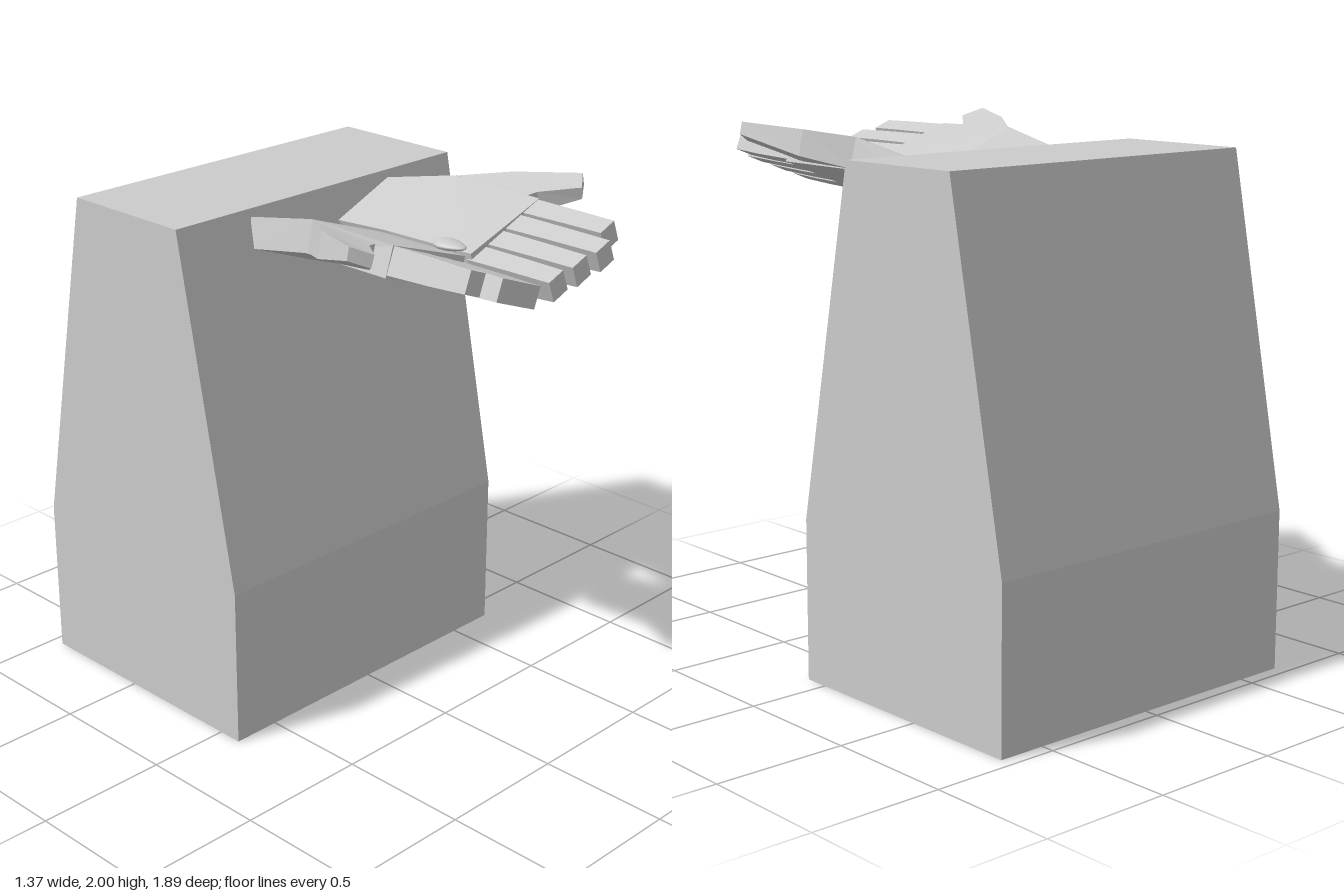
import * as THREE from 'three';

const material = new THREE.MeshStandardMaterial({ color: 0xcccccc, flatShading: true });
const smooth = new THREE.MeshStandardMaterial({ color: 0xcccccc });

function mesh(name, geometry, mat = material) {
  const m = new THREE.Mesh(geometry, mat);
  m.name = name;
  return m;
}

// Faceted solid through four-cornered sections, each ordered
// inner bottom, outer bottom, outer top, inner top; side -1 mirrors it in x.
function loft(sections, side) {
  const pos = [];
  const tri = (a, b, c) => {
    for (const p of side > 0 ? [a, b, c] : [a, c, b]) pos.push(p[0] * side + 0.004, p[1], p[2]);
  };
  const quad = (a, b, c, d) => { tri(a, b, c); tri(a, c, d); };
  for (let i = 0; i < sections.length - 1; i++) {
    const s = sections[i], t = sections[i + 1];
    for (let j = 0; j < 4; j++) {
      const k = (j + 1) % 4;
      quad(s[j], s[k], t[k], t[j]);
    }
  }
  const s = sections[0], e = sections[sections.length - 1];
  quad(s[3], s[2], s[1], s[0]);
  quad(e[0], e[1], e[2], e[3]);
  const g = new THREE.BufferGeometry();
  g.setAttribute('position', new THREE.Float32BufferAttribute(pos, 3));
  g.computeVertexNormals();
  return g;
}

// Rectangle tilted with the cupped palm
function fingerSection(x, y, z, w, h) {
  const c = Math.cos(0.37), s = Math.sin(0.37);
  return [[-1, -1], [1, -1], [1, 1], [-1, 1]].map(([u, v]) => {
    const a = u * w / 2, b = v * h / 2;
    return [x + a * c - b * s, y + a * s + b * c, z];
  });
}

function hand(side) {
  const group = new THREE.Group();
  group.name = side > 0 ? 'leftHand' : 'rightHand';

  group.add(mesh('palm', loft([
    [[0.11, 1.68, -0.11], [0.375, 1.78, -0.11], [0.345, 1.88, -0.16], [0.07, 1.78, -0.15]],
    [[0.055, 1.695, 0.17], [0.395, 1.835, 0.17], [0.37, 1.95, 0.17], [0.012, 1.82, 0.15]],
    [[0.045, 1.70, 0.555], [0.405, 1.84, 0.555], [0.37, 1.945, 0.555], [0.015, 1.825, 0.555]],
  ], side)));

  // Fingers from little finger to index: centre x, centre y, tip z
  const fingers = [
    ['littleFinger', 0.072, 1.778, 0.895],
    ['ringFinger', 0.162, 1.815, 0.92],
    ['middleFinger', 0.252, 1.852, 0.945],
    ['indexFinger', 0.343, 1.888, 0.89],
  ];
  for (const [name, x, y, tip] of fingers) {
    group.add(mesh(name, loft([
      fingerSection(x, y - 0.008, 0.54, 0.085, 0.1),
      fingerSection(x, y - 0.004, 0.74, 0.08, 0.092),
      fingerSection(x, y, tip, 0.076, 0.08),
    ], side)));
  }

  // Thumb spreading out and up from the side of the palm
  group.add(mesh('thumb', loft([
    [[0.38, 1.84, 0.47], [0.385, 1.835, 0.17], [0.365, 1.95, 0.17], [0.36, 1.93, 0.47]],
    [[0.445, 1.87, 0.5], [0.505, 1.88, 0.34], [0.485, 1.975, 0.34], [0.425, 1.945, 0.5]],
    [[0.535, 1.92, 0.615], [0.6, 1.95, 0.57], [0.59, 1.995, 0.57], [0.525, 1.965, 0.62]],
  ], side)));
  return group;
}

export function createModel() {
  const model = new THREE.Group();
  model.name = 'handsOnPedestal';

  // Pedestal: side profile drawn as (z, y), extruded across the width
  const profile = new THREE.Shape([
    [-0.95, 0], [0.095, 0], [0.095, 0.605], [-0.16, 1.91], [-0.695, 1.91], [-0.95, 0.605],
  ].map(([z, y]) => new THREE.Vector2(z, y)));
  const block = new THREE.ExtrudeGeometry(profile, { depth: 1.37, bevelEnabled: false });
  block.translate(0, 0, -0.685).rotateY(-Math.PI / 2);
  model.add(mesh('pedestal', block));

  model.add(hand(1), hand(-1));

  // Flattened droplet resting between the hands, pointed end forward
  const points = [[0, -0.065], [0.022, -0.061], [0.038, -0.047], [0.045, -0.025],
    [0.042, 0.003], [0.032, 0.032], [0.019, 0.055], [0.008, 0.064], [0, 0.066]]
    .map(([r, y]) => new THREE.Vector2(r, y));
  const drop = new THREE.LatheGeometry(points, 24);
  drop.rotateX(Math.PI / 2).scale(1, 0.42, 1).translate(0.005, 1.842, 0.475);
  model.add(mesh('droplet', drop, smooth));

  return model;
}
